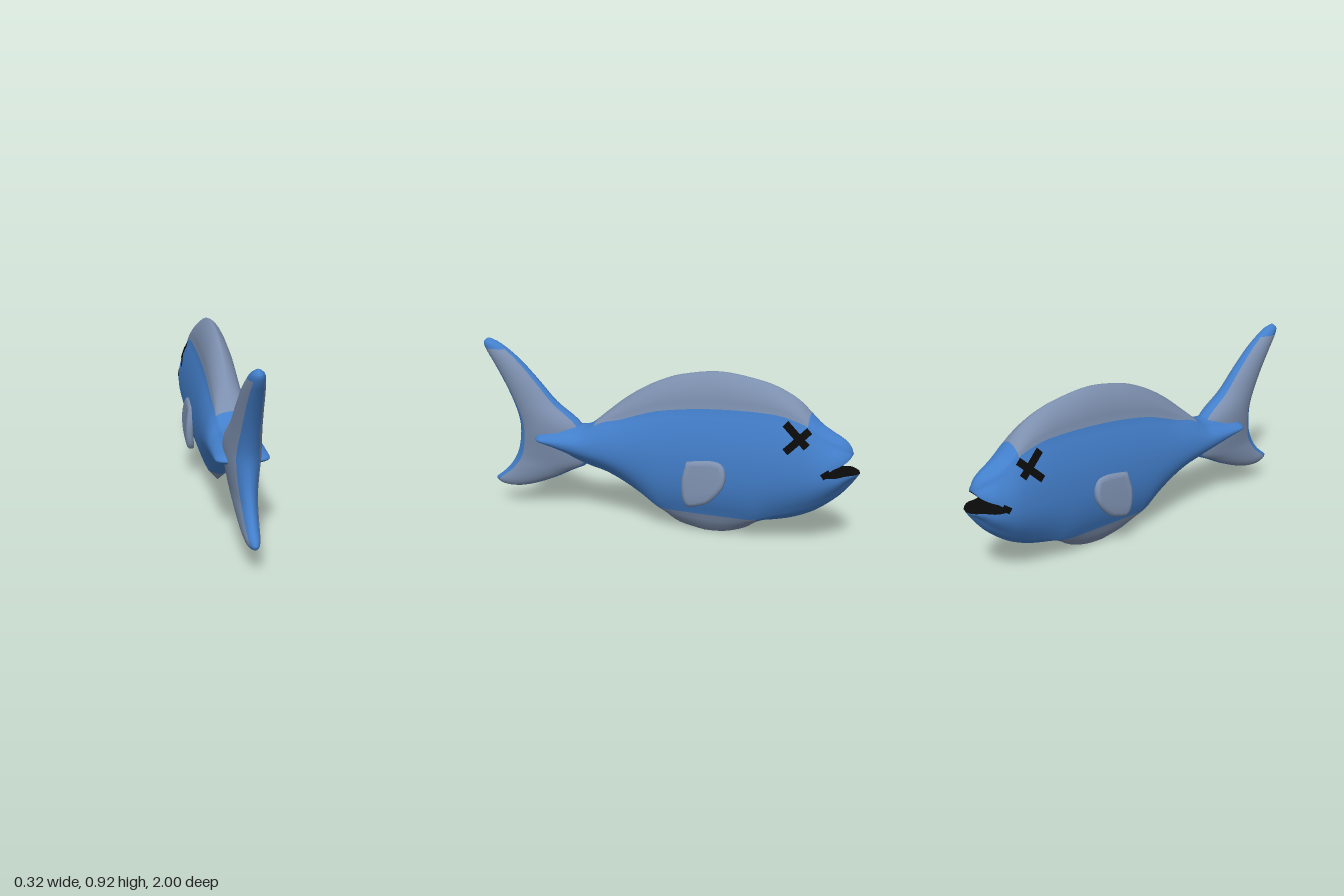
import * as THREE from 'three';
import { mergeVertices } from 'three/addons/utils/BufferGeometryUtils.js';

const flat = (name, color, side = THREE.FrontSide) => {
  const m = new THREE.MeshStandardMaterial({ color, side });
  m.name = name;
  return m;
};

// Smooth curve through [x, value] keys sorted by x
function curve(keys) {
  const slope = (i) => {
    const a = keys[Math.max(i - 1, 0)], b = keys[Math.min(i + 1, keys.length - 1)];
    return (b[1] - a[1]) / (b[0] - a[0]);
  };
  return (x) => {
    x = THREE.MathUtils.clamp(x, keys[0][0], keys[keys.length - 1][0]);
    let i = 0;
    while (i < keys.length - 2 && x > keys[i + 1][0]) i++;
    const [x0, y0] = keys[i], [x1, y1] = keys[i + 1];
    const h = x1 - x0, t = (x - x0) / h, t2 = t * t, t3 = t2 * t;
    return (2 * t3 - 3 * t2 + 1) * y0 + (t3 - 2 * t2 + t) * h * slope(i)
      + (3 * t2 - 2 * t3) * y1 + (t3 - t2) * h * slope(i + 1);
  };
}

// Skin closed rings; part(i, j) names the part a quad belongs to.
// Parts share vertices and normals, so shading flows across their borders.
function skin(rings, part, materials, group) {
  const n = rings[0].length, lists = {};
  for (let i = 0; i < rings.length - 1; i++) {
    for (let j = 0; j < n; j++) {
      const name = part(i, j);
      if (!name) continue;
      const k = (j + 1) % n, a = i * n + j, b = i * n + k, c = b + n, d = a + n;
      (lists[name] ||= []).push(a, d, c, a, c, b);
    }
  }
  let whole = new THREE.BufferGeometry();
  whole.setAttribute('position', new THREE.Float32BufferAttribute(rings.flat(2), 3));
  whole.setIndex(Object.values(lists).flat());
  whole = mergeVertices(whole, 1e-4);
  whole.computeVertexNormals();
  const index = Array.from(whole.index.array);
  let start = 0;
  for (const [name, list] of Object.entries(lists)) {
    const g = new THREE.BufferGeometry();
    g.setAttribute('position', whole.attributes.position);
    g.setAttribute('normal', whole.attributes.normal);
    g.setIndex(index.slice(start, start += list.length));
    const mesh = new THREE.Mesh(g, materials[name]);
    mesh.name = name;
    group.add(mesh);
  }
}

// Side profile curves along z: back, dorsal fin root, mouth line, belly fin root, underside
const top = curve([[-0.965, 0.495], [-0.95, 0.53], [-0.92, 0.56], [-0.85, 0.6], [-0.8, 0.63], [-0.76, 0.67],
  [-0.7, 0.73], [-0.6, 0.785], [-0.5, 0.815], [-0.3, 0.84], [-0.1, 0.81], [0, 0.775], [0.1, 0.725], [0.2, 0.66],
  [0.3, 0.58], [0.38, 0.515], [0.42, 0.5], [0.5, 0.49], [0.6, 0.475], [0.66, 0.455], [0.69, 0.422]]);
const dorsalRoot = curve([[-0.965, 0.494], [-0.92, 0.52], [-0.85, 0.55], [-0.76, 0.62], [-0.7, 0.645],
  [-0.6, 0.668], [-0.4, 0.672], [-0.2, 0.66], [0, 0.63], [0.1, 0.6], [0.2, 0.565], [0.3, 0.54], [0.36, 0.508],
  [0.42, 0.475], [0.5, 0.465], [0.6, 0.452], [0.66, 0.44], [0.69, 0.421]]);
const middle = [[-0.85, 0.395], [-0.5, 0.39], [0, 0.39], [0.3, 0.4], [0.5, 0.41], [0.69, 0.42]];
const midline = curve(middle);
const lipHigh = curve([[-0.965, 0.493], [-0.95, 0.472], [-0.92, 0.452], [-0.88, 0.432], [-0.85, 0.395]]);
const lipLow = curve([[-1, 0.402], [-0.95, 0.405], [-0.9, 0.395], [-0.85, 0.395]]);
const bellyRoot = curve([[-1, 0.401], [-0.95, 0.36], [-0.9, 0.31], [-0.8, 0.235], [-0.7, 0.19], [-0.6, 0.155],
  [-0.5, 0.115], [-0.4, 0.11], [-0.05, 0.11], [0, 0.118], [0.1, 0.19], [0.2, 0.25], [0.3, 0.29], [0.4, 0.315],
  [0.5, 0.345], [0.6, 0.38], [0.66, 0.4], [0.69, 0.419]]);
const bottom = curve([[-1, 0.4], [-0.96, 0.34], [-0.9, 0.27], [-0.8, 0.19], [-0.7, 0.14], [-0.6, 0.11],
  [-0.55, 0.1], [-0.5, 0.08], [-0.45, 0.045], [-0.35, 0.01], [-0.25, 0], [-0.2, 0.005], [-0.1, 0.025],
  [-0.05, 0.05], [0, 0.09], [0.1, 0.15], [0.2, 0.205], [0.3, 0.25], [0.4, 0.275], [0.5, 0.31], [0.6, 0.36],
  [0.66, 0.385], [0.69, 0.418]]);

// Rounding of the snout and the tail root seen from above
function plan(s) {
  if (s < -0.75) return Math.sqrt(Math.max(0, 1 - ((s + 0.75) / 0.25) ** 2));
  if (s > 0.6) return Math.sqrt(Math.max(0, 1 - ((s - 0.6) / 0.09) ** 4));
  return 1;
}
const upperHalf = (u) => 0.125 - 0.05 * u * u;

const MOUTH = -0.85, BELLY = 5, LOWER = 7, UPPER = 7, DORSAL = 7;

function sideColumn(s) {
  const open = s < MOUTH;
  const zu = open ? MOUTH + (s - MOUTH) * 0.76 : s;
  const low = open ? lipLow(s) : midline(s), high = open ? lipHigh(zu) : midline(s);
  const p = plan(s), b = bellyRoot(s), d = dorsalRoot(zu), col = [];
  for (let k = BELLY; k > 0; k--) {
    const u = Math.sin((k / BELLY) * Math.PI / 2);
    col.push([0.06 * (1 - u ** 1.5) * p, b + (bottom(s) - b) * u, s]);
  }
  for (let k = 0; k <= LOWER; k++) {
    const v = 1 - k / LOWER;
    col.push([(0.125 - 0.065 * v ** 2.4) * p, low + (b - low) * v, s]);
  }
  for (let k = 0; k <= UPPER; k++) {
    const u = k / UPPER;
    col.push([upperHalf(u) * p, high + (d - high) * u, zu]);
  }
  for (let k = 1; k <= DORSAL; k++) {
    const u = Math.sin((k / DORSAL) * Math.PI / 2);
    col.push([0.075 * (1 - u * u) ** 0.7 * p, d + (top(zu) - d) * u, zu]);
  }
  return col;
}

export function createModel() {
  const model = new THREE.Group();
  model.name = 'fish';
  const blue = flat('body blue', 0x437fcb);
  const grey = flat('fin grey', 0x7c8fae);
  const black = flat('black', 0x0a0a0a, THREE.DoubleSide);
  const add = (name, geometry, material) => {
    const mesh = new THREE.Mesh(geometry, material);
    mesh.name = name;
    model.add(mesh);
  };
  const mirror = ([x, y, z]) => [-x, y, z];

  // Body with dorsal and belly fins, from tail root to snout
  const stations = [], N = 84;
  for (let i = 0; i <= N; i++) {
    const t = i / N;
    stations.push(0.69 - 1.69 * (0.45 * t + 0.55 * (1 - Math.cos(Math.PI * t)) / 2));
  }
  const columns = stations.map(sideColumn);
  const C = columns[0].length, lip = BELLY + LOWER;
  skin(columns.map((c) => [...c, ...c.map(mirror).reverse()]), (i, j) => {
    const row = j < C ? j : 2 * C - 2 - j;
    const s = stations[i];
    if (row === lip) return null;
    if (row >= C - 1 - DORSAL && s < 0.36 && s > -0.75) return 'dorsalFin';
    if (row < BELLY && s < 0.01 && s > -0.49) return 'bellyFin';
    return 'body';
  }, { body: blue, dorsalFin: grey, bellyFin: grey }, model);

  // Mouth lining: roof back to the corner, then floor out to the lower lip
  const first = stations.findIndex((s) => s < MOUTH) - 1;
  const jaw = columns.slice(first);
  const lining = [...jaw.map((c) => c[lip + 1]).reverse(), ...jaw.map((c) => c[lip])];
  skin(lining.map((p) => [p, mirror(p)]), (i, j) => (j === 0 ? 'mouth' : null), { mouth: black }, model);

  // Crossed eyes and mouth corners, thin strokes hugging the skin
  const stroke = (name, side, z0, y0, z1, y1, width) => {
    const len = Math.hypot(z1 - z0, y1 - y0), dz = (z1 - z0) / len, dy = (y1 - y0) / len;
    const g = new THREE.PlaneGeometry(len, width, 10, 3), pos = g.attributes.position;
    for (let i = 0; i < pos.count; i++) {
      const a = pos.getX(i), w = pos.getY(i);
      const z = (z0 + z1) / 2 + a * dz - w * dy, y = (y0 + y1) / 2 + a * dy + w * dz;
      const m = midline(z), u = THREE.MathUtils.clamp((y - m) / (dorsalRoot(z) - m), 0, 1);
      pos.setXYZ(i, side * (upperHalf(u) * plan(z) + 0.004), y, z);
    }
    g.computeVertexNormals();
    add(name, g, black);
  };
  for (const side of [1, -1]) {
    stroke('eye', side, -0.65, 0.635, -0.76, 0.535, 0.036);
    stroke('eye', side, -0.765, 0.61, -0.66, 0.505, 0.036);
    stroke('mouthCorner', side, -0.84, 0.4, -0.875, 0.425, 0.03);
  }

  // Pectoral fins: rounded blades leaning out from the flanks
  const outline = [[-0.19, 0.385], [-0.29, 0.4], [-0.345, 0.385], [-0.35, 0.31], [-0.29, 0.23], [-0.23, 0.2],
    [-0.185, 0.2], [-0.175, 0.3]].map(([z, y]) => new THREE.Vector2(z, y));
  const finShape = new THREE.Shape(new THREE.SplineCurve([...outline, outline[0]]).getPoints(40));
  for (const side of [1, -1]) {
    let g = new THREE.ExtrudeGeometry(finShape, {
      depth: 0.012, bevelThickness: 0.014, bevelSize: 0.02, bevelSegments: 4, steps: 1,
    });
    const pos = g.attributes.position;
    for (let i = 0; i < pos.count; i++) {
      const z = pos.getX(i), y = pos.getY(i), t = pos.getZ(i);
      const lean = 0.022 * Math.sin(Math.PI * THREE.MathUtils.clamp((0.42 - y) / 0.3, 0, 1));
      pos.setXYZ(i, side * (0.11 + t + lean), y, z);
    }
    if (side > 0) {
      // restore outward winding after swapping axes
      for (let i = 0; i < pos.count; i += 3) {
        const a = new THREE.Vector3().fromBufferAttribute(pos, i);
        pos.setXYZ(i, pos.getX(i + 1), pos.getY(i + 1), pos.getZ(i + 1));
        pos.setXYZ(i + 1, a.x, a.y, a.z);
      }
    }
    g.deleteAttribute('uv');
    g.deleteAttribute('normal');
    g = mergeVertices(g, 1e-4);
    g.computeVertexNormals();
    add(side > 0 ? 'leftPectoralFin' : 'rightPectoralFin', g, grey);
  }

  // Tail fin: slices of height, front edge, rear edge, half thickness
  const slices = [[0.105, 0.87, 0.875, 0.002], [0.115, 0.8, 0.935, 0.022], [0.14, 0.715, 0.968, 0.035],
    [0.17, 0.64, 0.935, 0.042], [0.2, 0.575, 0.9, 0.047], [0.24, 0.5, 0.865, 0.053], [0.28, 0.42, 0.84, 0.058],
    [0.34, 0.41, 0.815, 0.068], [0.43, 0.42, 0.8, 0.08], [0.5, 0.45, 0.805, 0.08], [0.6, 0.585, 0.84, 0.067],
    [0.7, 0.68, 0.89, 0.058], [0.8, 0.78, 0.95, 0.048], [0.86, 0.855, 0.988, 0.038], [0.9, 0.92, 1, 0.026],
    [0.92, 0.968, 0.975, 0.002]];
  const [front, rear, thick] = [1, 2, 3].map((k) => curve(slices.map((s) => [s[0], s[k]])));
  const rings = [], heights = [], M = 28;
  for (let i = 0; i <= 48; i++) {
    const t = i / 48, y = 0.92 - 0.815 * (0.5 * t + 0.5 * (1 - Math.cos(Math.PI * t)) / 2);
    heights.push(y);
    const zc = (front(y) + rear(y)) / 2, hz = (rear(y) - front(y)) / 2;
    rings.push(Array.from({ length: M }, (_, j) => {
      const a = (j / M) * Math.PI * 2;
      return [thick(y) * Math.sin(a), y, zc + hz * Math.cos(a)];
    }));
  }
  skin(rings, (i, j) => {
    const c = Math.cos(((j + 0.5) / M) * Math.PI * 2);
    return c > 0.76 || c < -0.92 || heights[i] > 0.875 || heights[i] < 0.12 ? 'tailEdge' : 'tailFin';
  }, { tailEdge: blue, tailFin: grey }, model);

  return model;
}
